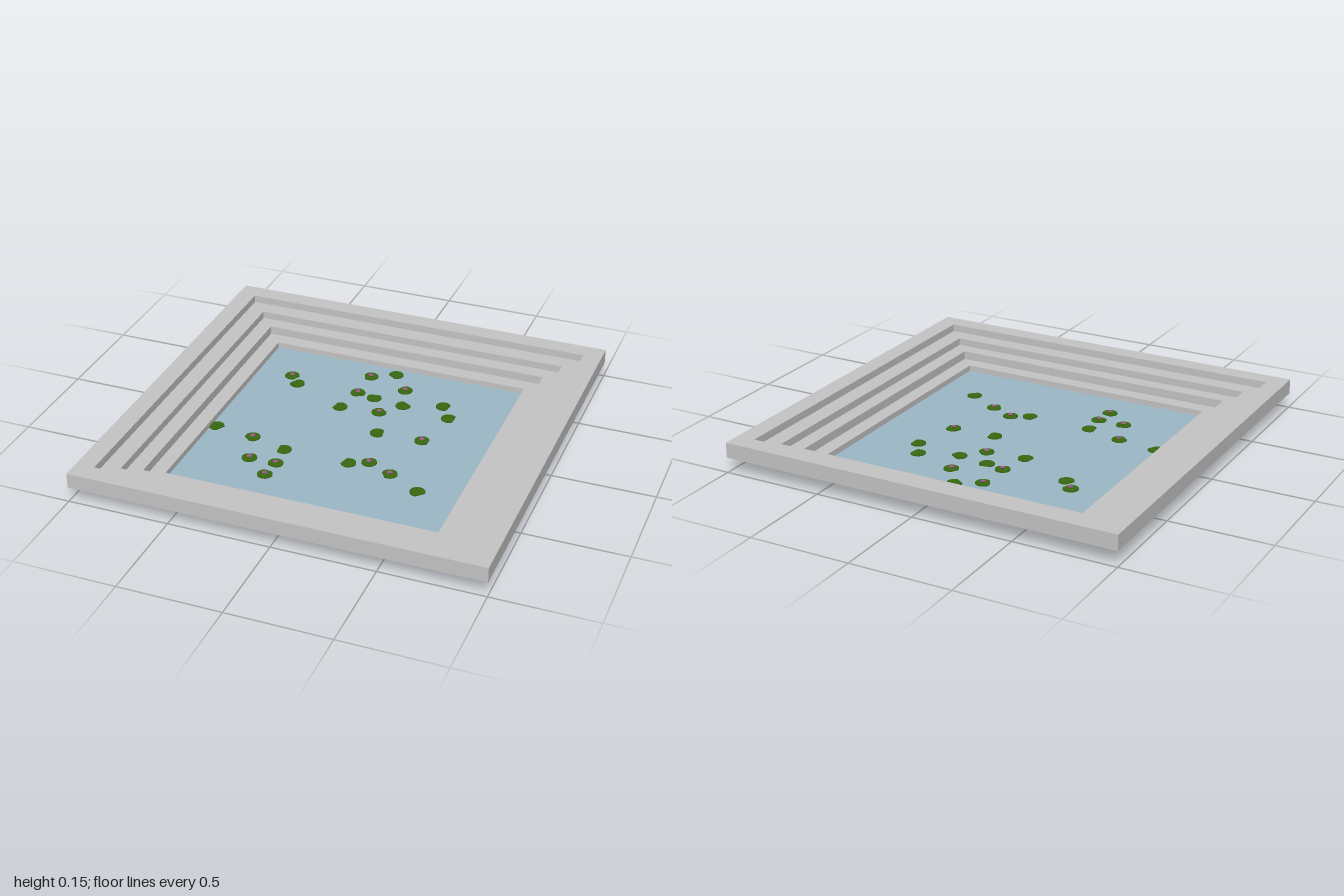
import * as THREE from 'three';

const stone = new THREE.MeshStandardMaterial({ name: 'stone', color: 0xc6c6c6, side: THREE.DoubleSide });
const water = new THREE.MeshStandardMaterial({ name: 'water', color: 0x9db9c7, side: THREE.DoubleSide });
const leaf = new THREE.MeshStandardMaterial({ name: 'leaf', color: 0x38690f, side: THREE.DoubleSide });
const petal = new THREE.MeshStandardMaterial({ name: 'petal', color: 0xa8558f });

// Lily pads: x, z, notch direction in degrees (0 = right, 90 = back), has flower
const PADS = [
  [-0.105, -0.55, 205, 1], [0.01, -0.61, 235, 0], [0.105, -0.48, 150, 1], [-0.485, -0.415, -25, 1],
  [-0.43, -0.35, 150, 0], [-0.11, -0.375, -60, 1], [-0.015, -0.355, 100, 0], [0.145, -0.335, 60, 0],
  [0.335, -0.4, -10, 0], [0.395, -0.3, 0, 0], [-0.145, -0.215, 170, 0], [0.055, -0.235, 50, 1],
  [0.115, -0.05, 10, 0], [0.34, -0.06, 0, 1], [-0.64, 0.17, -30, 0], [-0.435, 0.2, 230, 1],
  [-0.25, 0.25, 185, 0], [0.08, 0.25, 165, 0], [0.17, 0.21, 120, 1], [0.295, 0.27, 215, 1],
  [0.465, 0.365, -45, 0], [-0.375, 0.375, 110, 1], [-0.24, 0.375, 260, 1], [-0.25, 0.48, 80, 1],
];

function add(parent, name, geometry, material, x = 0, y = 0, z = 0) {
  const mesh = new THREE.Mesh(geometry, material);
  mesh.name = name;
  mesh.position.set(x, y, z);
  parent.add(mesh);
  return mesh;
}

// Round leaf with a wedge cut out, lying flat
function padGeometry(notchWidth) {
  const shape = new THREE.Shape();
  shape.moveTo(0, 0);
  shape.absarc(0, 0, 0.037, notchWidth / 2, Math.PI * 2 - notchWidth / 2, false);
  shape.closePath();
  const geometry = new THREE.ExtrudeGeometry(shape, { depth: 0.005, bevelEnabled: false, curveSegments: 9 });
  return geometry.rotateX(-Math.PI / 2);
}

export function createModel() {
  const group = new THREE.Group();
  group.name = 'pond';

  // Stepped basin: a square lathe, open underneath
  const profile = [
    [1, 0.075], [1, 0.15], [0.907, 0.15], [0.907, 0.112], [0.82, 0.112],
    [0.82, 0.075], [0.745, 0.075], [0.745, 0.032], [0.67, 0.032], [0.67, 0],
  ].map(([s, y]) => new THREE.Vector2(s * Math.SQRT2, y));
  const basin = new THREE.LatheGeometry(profile, 4).rotateY(Math.PI / 4).toNonIndexed();
  basin.computeVertexNormals();
  add(group, 'steppedBasin', basin, stone);

  // Water surface
  add(group, 'waterSurface', new THREE.PlaneGeometry(1.34, 1.34).rotateX(-Math.PI / 2), water, 0, 0.003, 0);

  // Lily pads, some with a small flower
  const plainPad = padGeometry(1.5);
  const flowerPad = padGeometry(1.15);
  const flower = new THREE.ConeGeometry(0.014, 0.01, 6).rotateX(Math.PI);
  for (const [x, z, notch, hasFlower] of PADS) {
    const lily = new THREE.Group();
    lily.name = 'waterLily';
    lily.position.set(x, 0.005, z);
    lily.rotation.y = THREE.MathUtils.degToRad(notch);
    add(lily, 'lilyPad', hasFlower ? flowerPad : plainPad, leaf);
    if (hasFlower) add(lily, 'lilyFlower', flower, petal, 0, 0.008, 0);
    group.add(lily);
  }
  return group;
}
